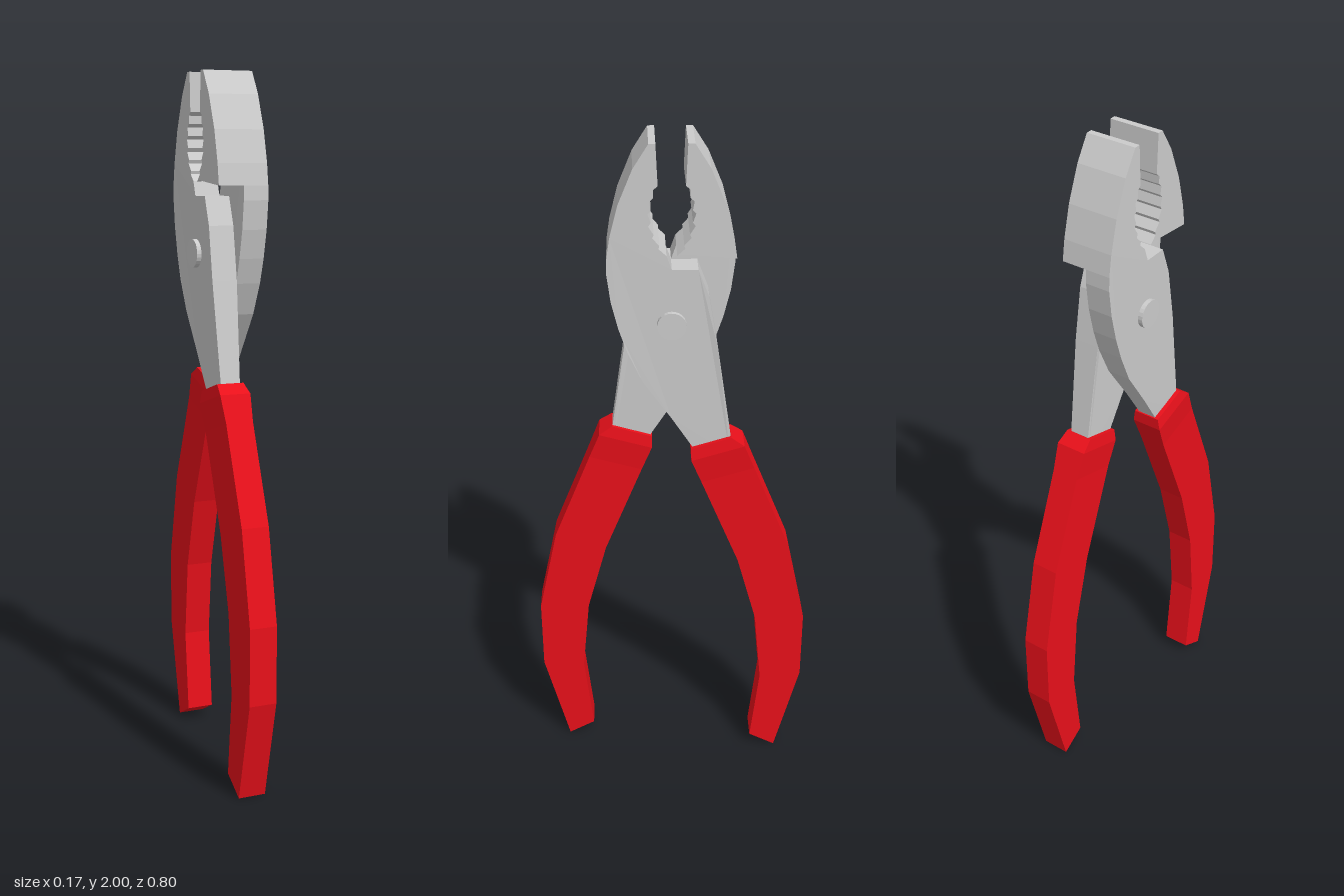
import * as THREE from 'three';

const steel = new THREE.MeshStandardMaterial({ color: 0xcccccc, flatShading: true });
const vinyl = new THREE.MeshStandardMaterial({ color: 0xe8101a, flatShading: true });

const PLATE = 0.073; // thickness of one half

// Extrudes a side profile of [z, y] points from x0 to x1
function sidePlate(points, x0, x1) {
  const shape = new THREE.Shape(points.map(([z, y]) => new THREE.Vector2(-z, y)));
  const geo = new THREE.ExtrudeGeometry(shape, { depth: x1 - x0, bevelEnabled: false });
  return geo.rotateY(Math.PI / 2).translate(x0, 0, 0);
}

// Joins four-sided rings [outerZ, outerY, innerZ, innerY, x0, x1], bottom to top, into a closed solid
function loftRings(rings) {
  const pos = [], idx = [];
  for (const [oz, oy, iz, iy, x0, x1] of rings) {
    pos.push(x0, oy, oz, x1, oy, oz, x1, iy, iz, x0, iy, iz);
  }
  for (let r = 0; r < rings.length - 1; r++) {
    for (let k = 0; k < 4; k++) {
      const a = r * 4 + k, b = r * 4 + (k + 1) % 4;
      idx.push(a, b + 4, b, a, a + 4, b + 4);
    }
  }
  const e = (rings.length - 1) * 4;
  idx.push(0, 1, 2, 0, 2, 3, e, e + 2, e + 1, e, e + 3, e + 2);
  const geo = new THREE.BufferGeometry();
  geo.setAttribute('position', new THREE.Float32BufferAttribute(pos, 3));
  geo.setIndex(idx);
  const flat = geo.toNonIndexed();
  flat.computeVertexNormals();
  return flat;
}

// Toothed inner edge of the jaw, from top to bottom
function toothEdge() {
  const curve = new THREE.CatmullRomCurve3([
    [0.036, 1.89], [0.052, 1.84], [0.053, 1.78], [0.036, 1.735], [0.014, 1.70],
  ].map(([z, y]) => new THREE.Vector3(0, y, z)));
  const teeth = 6, pts = [];
  for (let i = 0; i <= teeth; i++) {
    const p = curve.getPointAt(i / teeth);
    pts.push([p.z, p.y]);
    if (i < teeth) {
      // valley cut just below each tooth tip
      const q = curve.getPointAt((i + 0.3) / teeth);
      pts.push([q.z + 0.008, q.y]);
    }
  }
  return pts;
}

function mesh(name, geo, mat) {
  const m = new THREE.Mesh(geo, mat);
  m.name = name;
  return m;
}

function buildHalf(name) {
  const half = new THREE.Group();
  half.name = name;

  const crown = [[0.036, 1.89], [0.041, 2.0], [0.059, 2.0], [0.10, 1.935],
    [0.139, 1.84], [0.162, 1.75], [0.171, 1.69]].reverse();
  const teeth = toothEdge().slice(1);

  // Lever plate: head, pivot area and neck running into the grip
  const lever = sidePlate([
    ...crown, ...teeth,
    [0, 1.66], [-0.07, 1.66], [-0.10, 1.58], [-0.125, 1.43], [-0.166, 1.15], [-0.165, 1.09],
    [-0.08, 1.06], [-0.056, 1.12], [0, 1.21], [0.08, 1.33], [0.12, 1.42],
    [0.143, 1.49], [0.162, 1.57], [0.172, 1.65],
  ], 0, PLATE);
  // Thin the neck towards the grip
  const p = lever.attributes.position;
  for (let i = 0; i < p.count; i++) {
    const t = THREE.MathUtils.clamp((1.43 - p.getY(i)) / 0.33, 0, 1);
    p.setX(i, PLATE / 2 + (p.getX(i) - PLATE / 2) * (1 - 0.25 * t));
  }
  lever.computeVertexNormals();
  half.add(mesh('lever', lever, steel));

  // Jaw block overhanging the opposite lever
  half.add(mesh('jaw', sidePlate([...crown, ...teeth, [0.03, 1.703]], -PLATE, 0), steel));

  // Dipped grip with a flared, chamfered collar
  half.add(mesh('grip', loftRings([
    [-0.328, 0, -0.25, 0.043, -0.002, 0.078],
    [-0.40, 0.295, -0.275, 0.285, -0.002, 0.078],
    [-0.40, 0.515, -0.253, 0.515, -0.002, 0.078],
    [-0.343, 0.78, -0.195, 0.73, -0.002, 0.078],
    [-0.235, 1.05, -0.085, 1.005, -0.002, 0.078],
    [-0.205, 1.125, -0.055, 1.08, -0.007, 0.083],
    [-0.168, 1.15, -0.054, 1.115, -0.002, 0.077],
  ]), vinyl));
  return half;
}

export function createModel() {
  const model = new THREE.Group();
  model.name = 'pliers';

  // Two identical halves, turned half a revolution from each other
  const first = buildHalf('leftHalf');
  const second = buildHalf('rightHalf');
  second.rotation.y = Math.PI;
  model.add(first, second);

  // Pivot pin through both levers
  const pin = new THREE.CylinderGeometry(0.04, 0.04, 0.168, 24).rotateZ(Math.PI / 2);
  pin.translate(0, 1.5, 0);
  model.add(mesh('pivotPin', pin, steel));

  for (const part of model.children) part.position.x = -0.002;
  return model;
}
